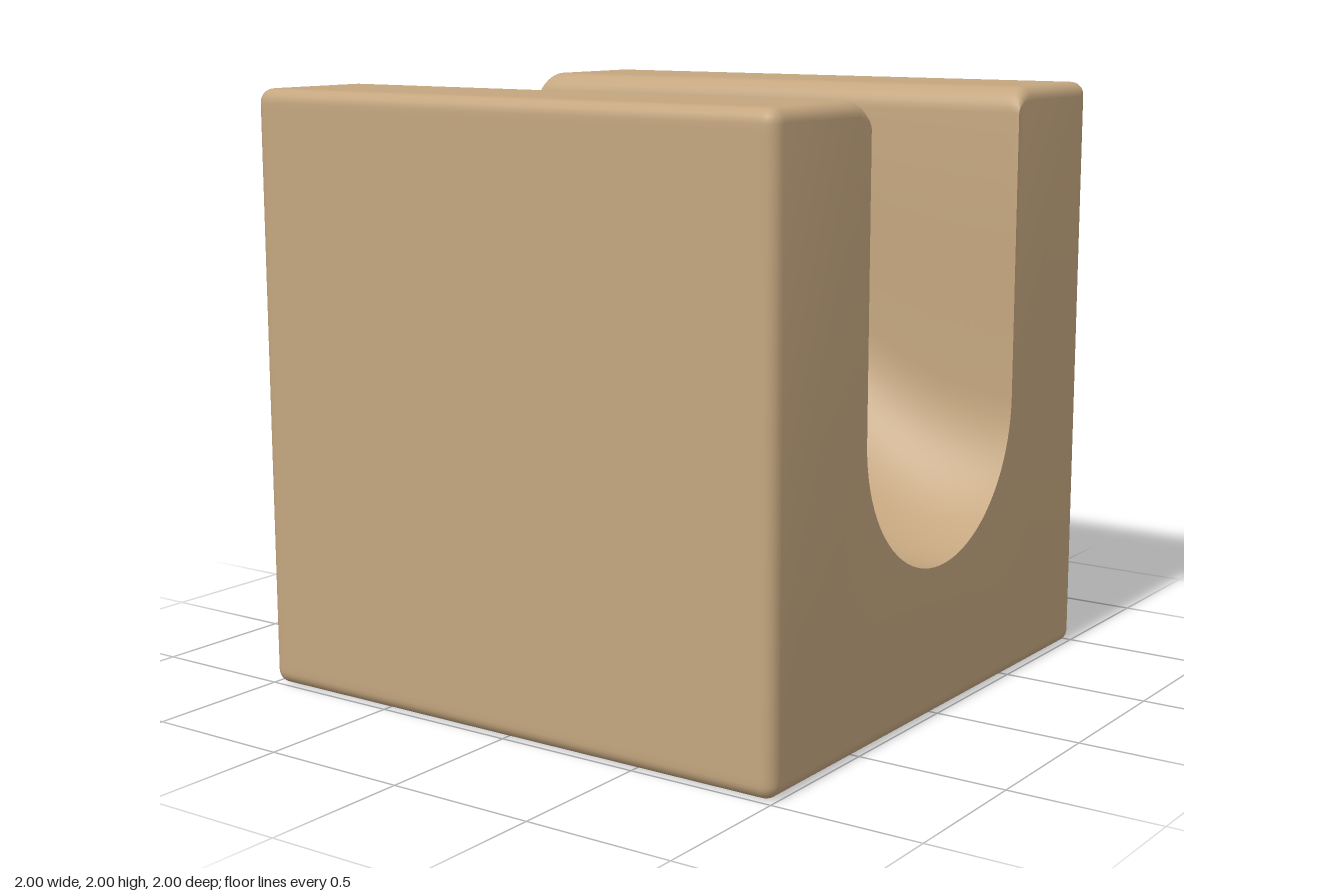
import * as THREE from 'three';
import { toCreasedNormals } from 'three/addons/utils/BufferGeometryUtils.js';

const EDGE = 0.045;     // rounding of the outer edges
const RADIUS = 0.478;   // half width of the channel
const LIP = 0.085;      // rounding of the channel rims
const STEPS = 6;

// height of the channel's centre line: an S-shaped drop from left to right
const centreY = (x) => 1.481 + 0.507 * Math.cos((Math.PI * (x + 1)) / 2);

// Cross-section at x as [z, y] points, outer faces pulled in by d
function section(x, d) {
  const half = [];
  const out = 1 - d;
  const inner = 1 - EDGE;
  const r = EDGE - d;
  const add = (z, y) => half.push([z, y]);

  // underside and lower outer edge
  add(inner - 0.02, d);
  for (let i = 0; i <= STEPS; i++) {
    const a = (i / STEPS) * Math.PI / 2;
    add(inner + r * Math.sin(a), EDGE - r * Math.cos(a));
  }
  add(out, EDGE + 0.02);
  add(out, 2 - EDGE - 0.02);
  // upper outer edge
  for (let i = 0; i <= STEPS; i++) {
    const a = (i / STEPS) * Math.PI / 2;
    add(inner + r * Math.cos(a), 2 - EDGE + r * Math.sin(a));
  }
  add(inner - 0.02, 2 - d);
  add(RADIUS + LIP + 0.02, 2 - d);
  // rounded rim, ending on the channel wall
  const c = centreY(x);
  const rimY = 2 - LIP;
  const start = Math.asin(Math.min(0, Math.max(-1, (rimY - c) / RADIUS)));
  const wallZ = RADIUS * Math.cos(start);
  for (let i = 0; i <= 8; i++) {
    const a = (i / 8) * Math.PI / 2;
    add(RADIUS + LIP - (RADIUS + LIP - wallZ) * Math.sin(a), rimY + (LIP - d) * Math.cos(a));
  }
  // straight wall, then the quarter round down to the floor
  const wallEnd = Math.min(c, rimY);
  add(wallZ, wallEnd + (rimY - wallEnd) * 0.5);
  for (let i = 0; i <= 20; i++) {
    const a = start + (i / 20) * (-Math.PI / 2 - start);
    add(RADIUS * Math.cos(a), c + RADIUS * Math.sin(a));
  }
  const mirrored = half.slice(0, -1).reverse().map(([z, y]) => [-z, y]);
  return half.concat(mirrored);
}

// Stations along x, with a rounded inset at both ends
function stations() {
  const list = [];
  for (let i = 0; i <= STEPS; i++) {
    const a = (i / STEPS) * Math.PI / 2;
    list.push([-1 + EDGE * (1 - Math.cos(a)), EDGE * 0.999 * (1 - Math.sin(a))]);
  }
  const right = list.map(([x, d]) => [-x, d]).reverse();
  const span = 1 - EDGE;
  list.push([-span + 0.02, 0]);
  for (let i = 1; i < 48; i++) list.push([-span + (2 * span * i) / 48, 0]);
  list.push([span - 0.02, 0]);
  return list.concat(right);
}

function blockGeometry() {
  const rings = stations().map(([x, d]) => section(x, d).map(([z, y]) => new THREE.Vector3(x, y, z)));
  const positions = [];
  const tri = (a, b, c) => {
    const area = new THREE.Vector3().subVectors(b, a).cross(new THREE.Vector3().subVectors(c, a));
    if (area.lengthSq() > 1e-16) for (const p of [a, b, c]) positions.push(p.x, p.y, p.z);
  };
  // skin between neighbouring sections
  for (let s = 0; s < rings.length - 1; s++) {
    const A = rings[s], B = rings[s + 1], n = A.length;
    for (let i = 0; i < n; i++) {
      const j = (i + 1) % n;
      tri(A[i], B[i], B[j]);
      tri(A[i], B[j], A[j]);
    }
  }
  // flat end faces
  for (const [ring, sign] of [[rings[0], -1], [rings[rings.length - 1], 1]]) {
    const flat = ring.map((p) => new THREE.Vector2(p.z, p.y));
    for (const [i, j, k] of THREE.ShapeUtils.triangulateShape(flat, [])) {
      const [a, b, c] = [ring[i], ring[j], ring[k]];
      const nx = (b.y - a.y) * (c.z - a.z) - (b.z - a.z) * (c.y - a.y);
      if (nx * sign > 0) tri(a, b, c);
      else tri(a, c, b);
    }
  }
  const geometry = new THREE.BufferGeometry();
  geometry.setAttribute('position', new THREE.Float32BufferAttribute(positions, 3));
  return toCreasedNormals(geometry, 0.6);
}

export function createModel() {
  const wood = new THREE.MeshStandardMaterial({ color: 0xc4a67f });
  wood.name = 'wood';

  const block = new THREE.Mesh(blockGeometry(), wood);
  block.name = 'channelBlock';

  const group = new THREE.Group();
  group.name = 'marbleRunBlock';
  group.add(block);
  return group;
}
